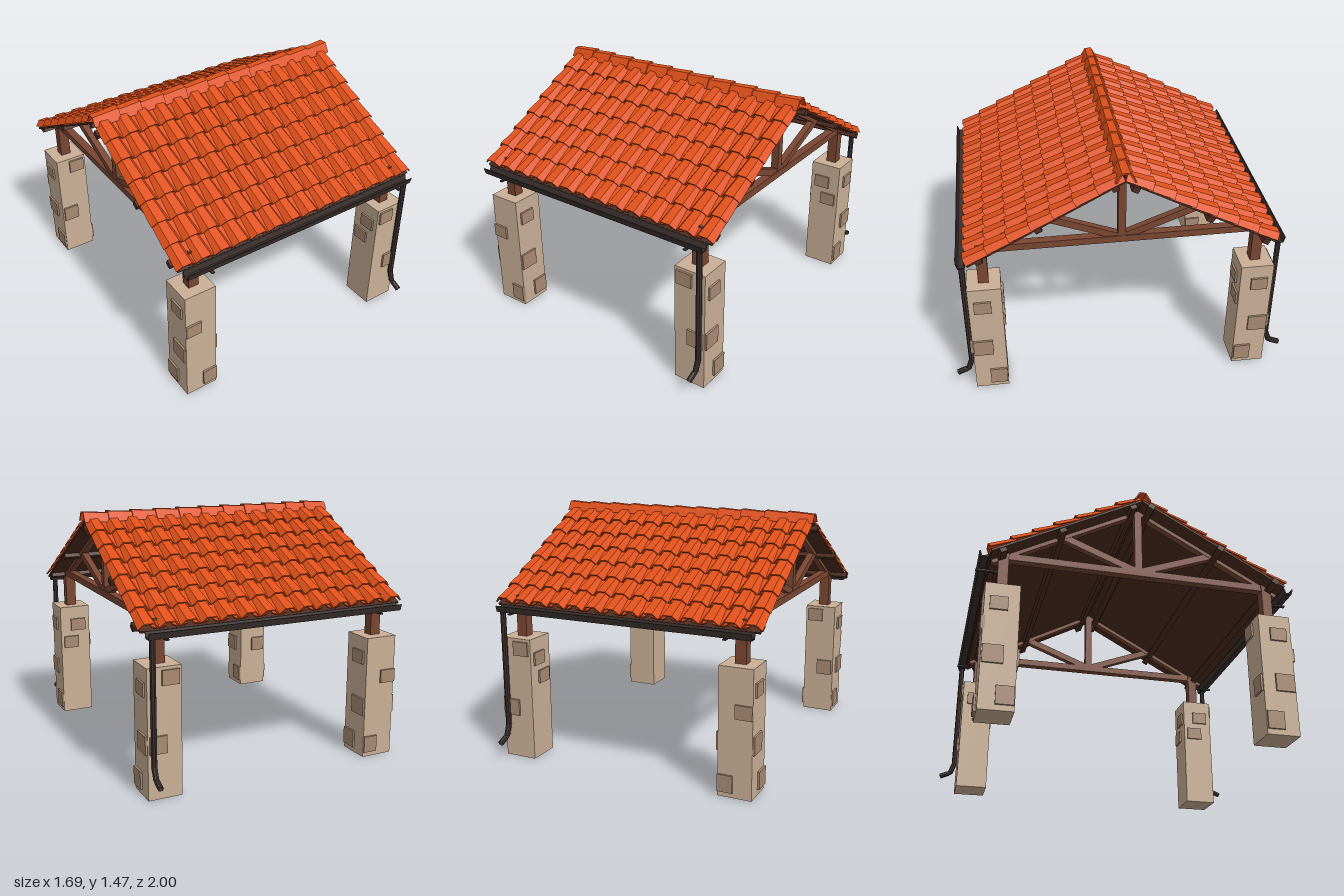
import * as THREE from 'three';
import { mergeGeometries } from 'three/addons/utils/BufferGeometryUtils.js';

const mat = (color, extra = {}) => new THREE.MeshStandardMaterial({ color, flatShading: true, ...extra });
const STONE = mat(0xcbb096), PATCH = mat(0xa98a72), WOOD = mat(0x7a4632), DECK = mat(0x4f2c20);
const TILE = mat(0xe0501a), METAL = mat(0x3a302e, { side: THREE.DoubleSide });

const PITCH = Math.atan(0.545), APEX = 1.415, SLOPE = 1.0;

function add(parent, name, geo, material, x = 0, y = 0, z = 0) {
  const m = new THREE.Mesh(geo, material);
  m.name = name;
  m.position.set(x, y, z);
  parent.add(m);
  return m;
}
const box = (parent, name, material, w, h, d, x, y, z) =>
  add(parent, name, new THREE.BoxGeometry(w, h, d), material, x, y, z);

// Square timber between two points in the plane of a truss: [z, y]
function timber(parent, name, a, b, thick, depth) {
  const dz = b[0] - a[0], dy = b[1] - a[1];
  const m = box(parent, name, WOOD, thick, depth, Math.hypot(dz, dy), 0, (a[1] + b[1]) / 2, (a[0] + b[0]) / 2);
  m.rotation.x = -Math.atan2(dy, dz);
}

// Bent-plate section extruded along z, widening and lifting towards its far end
function shell(outer, inner, length, taper = 1, lift = 0) {
  const pts = [...outer, ...inner.slice().reverse()].map(([x, y]) => new THREE.Vector2(x, y));
  const geo = new THREE.ExtrudeGeometry(new THREE.Shape(pts), { depth: length, bevelEnabled: false });
  const p = geo.attributes.position;
  for (let i = 0; i < p.count; i++) {
    const t = p.getZ(i) / length, s = taper + (1 - taper) * t;
    p.setX(i, p.getX(i) * s);
    p.setY(i, p.getY(i) * s + lift * t);
  }
  geo.computeVertexNormals();
  return geo;
}

// Stone patches per face: [offset along face, height, width, tall]
const OUTER = [[0.02, 0.62, 0.1, 0.08], [0.04, 0.315, 0.115, 0.105], [-0.05, 0.085, 0.1, 0.105]];
const INNER = [[0.02, 0.62, 0.1, 0.08], [-0.03, 0.5, 0.1, 0.08]];
const FACE_A = [[0.035, 0.685, 0.1, 0.085], [-0.04, 0.315, 0.1, 0.1]];
const FACE_B = [[-0.05, 0.5, 0.1, 0.08], [0.055, 0.08, 0.09, 0.1]];

function pillar(sx, sz) {
  const g = new THREE.Group();
  g.name = 'pillar';
  g.position.set(sx * 0.7, 0, sz * 0.795);
  box(g, 'pillarShaft', STONE, 0.2, 0.745, 0.195, 0, 0.3725, 0);
  const [front, back] = sx > 0 ? [FACE_A, INNER] : [FACE_B, FACE_A];
  const sides = [[sx, OUTER], [-sx, sx > 0 ? INNER : OUTER]];
  for (const [dir, list] of sides)
    for (const [u, y, w, h] of list) box(g, 'stonePatch', PATCH, 0.024, h, w, dir * 0.1, y, sz * u * 0.85);
  for (const [dir, list] of [[sz, front], [-sz, back]])
    for (const [u, y, w, h] of list) box(g, 'stonePatch', PATCH, w, h, 0.024, -sx * u, y, dir * 0.0975);
  box(g, 'post', WOOD, 0.065, 0.25, 0.06, 0, 0.865, 0);
  return g;
}

function truss(x) {
  const g = new THREE.Group();
  g.name = 'truss';
  g.position.x = x;
  box(g, 'tieBeam', WOOD, 0.05, 0.042, 1.64, 0, 0.97, 0);
  box(g, 'kingPost', WOOD, 0.045, 0.42, 0.045, 0, 1.195, 0);
  for (const s of [-1, 1]) {
    timber(g, 'strut', [s * 0.02, 0.985], [s * 0.47, 1.16], 0.04, 0.042);
    timber(g, 'rafter', [0, APEX - 0.02], [s * 0.86, APEX - 0.02 - 0.86 * 0.545], 0.045, 0.026);
  }
  return g;
}

// One roof pitch in its own frame: z runs down the slope, y is its normal
function roofPitch() {
  const g = new THREE.Group();
  g.name = 'roofPitch';
  g.position.y = APEX;
  g.rotation.x = PITCH;
  box(g, 'roofDeck', DECK, 1.65, 0.012, SLOPE - 0.01, 0, -0.002, SLOPE / 2);
  for (const s of [0.07, 0.55, 0.93]) box(g, 'purlin', DECK, 1.665, 0.034, 0.04, -0.0125, -0.016, s);

  const rows = 7, step = 0.139, len = 0.16;
  const cover = shell(
    [[-0.06, 0], [-0.029, 0.037], [0.029, 0.037], [0.06, 0]],
    [[-0.05, 0], [-0.025, 0.029], [0.025, 0.029], [0.05, 0]], len, 0.82, 0.012);
  const pan = shell(
    [[-0.045, 0.02], [-0.022, 0.008], [0.022, 0.008], [0.045, 0.02]],
    [[-0.045, 0.013], [-0.022, 0.001], [0.022, 0.001], [0.045, 0.013]], len - 0.005, 1, 0.006);
  const covers = [], pans = [];
  for (let r = 0; r < rows; r++) {
    const z = 0.02 + (r + 1) * step - len;
    for (let c = 0; c < 14; c++) {
      const x = -0.78 + c * 0.12;
      covers.push(cover.clone().translate(x, 0.002, z));
      if (c < 13) pans.push(pan.clone().translate(x + 0.06, 0.002, z));
    }
  }
  add(g, 'coverTiles', mergeGeometries(covers), TILE);
  add(g, 'panTiles', mergeGeometries(pans), TILE);
  return g;
}

// Gutter, brackets and downspout along one eave (dir = +1 front, -1 back)
function drainage(dir) {
  const g = new THREE.Group();
  g.name = 'drainage';
  const gutter = shell(
    [[-0.031, 0.942], [-0.02, 0.905], [0.02, 0.905], [0.031, 0.942]],
    [[-0.024, 0.942], [-0.015, 0.912], [0.015, 0.912], [0.024, 0.942]], 1.6);
  gutter.rotateY(Math.PI / 2);
  add(g, 'gutter', gutter, METAL, -0.8, 0, dir * 0.907);
  for (const x of [-0.65, 0.7]) box(g, 'gutterBracket', METAL, 0.02, 0.008, 0.125, x, 0.901, dir * 0.882);
  const path = new THREE.CurvePath();
  const pts = [[0.907, 0.91], [0.907, 0.2], [0.93, 0.135], [0.995, 0.107]]
    .map(([z, y]) => new THREE.Vector3(0.77, y, dir * z));
  for (let i = 0; i < 3; i++) path.add(new THREE.LineCurve3(pts[i], pts[i + 1]));
  add(g, 'downspout', new THREE.TubeGeometry(path, 48, 0.017, 8), METAL);
  return g;
}

// Overlapping ridge caps, each flaring towards +x
function ridge() {
  const n = 11, step = 1.68 / n;
  const cap = shell(
    [[-0.058, -0.018], [-0.024, 0.04], [0.024, 0.04], [0.058, -0.018]],
    [[-0.048, -0.018], [-0.019, 0.031], [0.019, 0.031], [0.048, -0.018]], step + 0.012, 0.87, 0.006);
  cap.rotateY(Math.PI / 2);
  const caps = [];
  for (let i = 0; i < n; i++) caps.push(cap.clone().translate(-0.84 + i * step - (i ? 0.012 : 0), 0, 0));
  const mesh = new THREE.Mesh(mergeGeometries(caps), TILE);
  mesh.name = 'ridgeTiles';
  mesh.position.y = 1.426;
  return mesh;
}

export function createModel() {
  const model = new THREE.Group();
  model.name = 'tiledShelter';
  for (const sx of [-1, 1]) {
    model.add(truss(sx * 0.7));
    for (const sz of [-1, 1]) model.add(pillar(sx, sz));
  }
  for (const dir of [1, -1]) {
    const side = new THREE.Group();
    side.name = dir > 0 ? 'frontRoof' : 'backRoof';
    side.rotation.y = dir > 0 ? 0 : Math.PI;
    side.add(roofPitch());
    model.add(side, drainage(dir));
  }
  model.add(ridge());
  return model;
}
